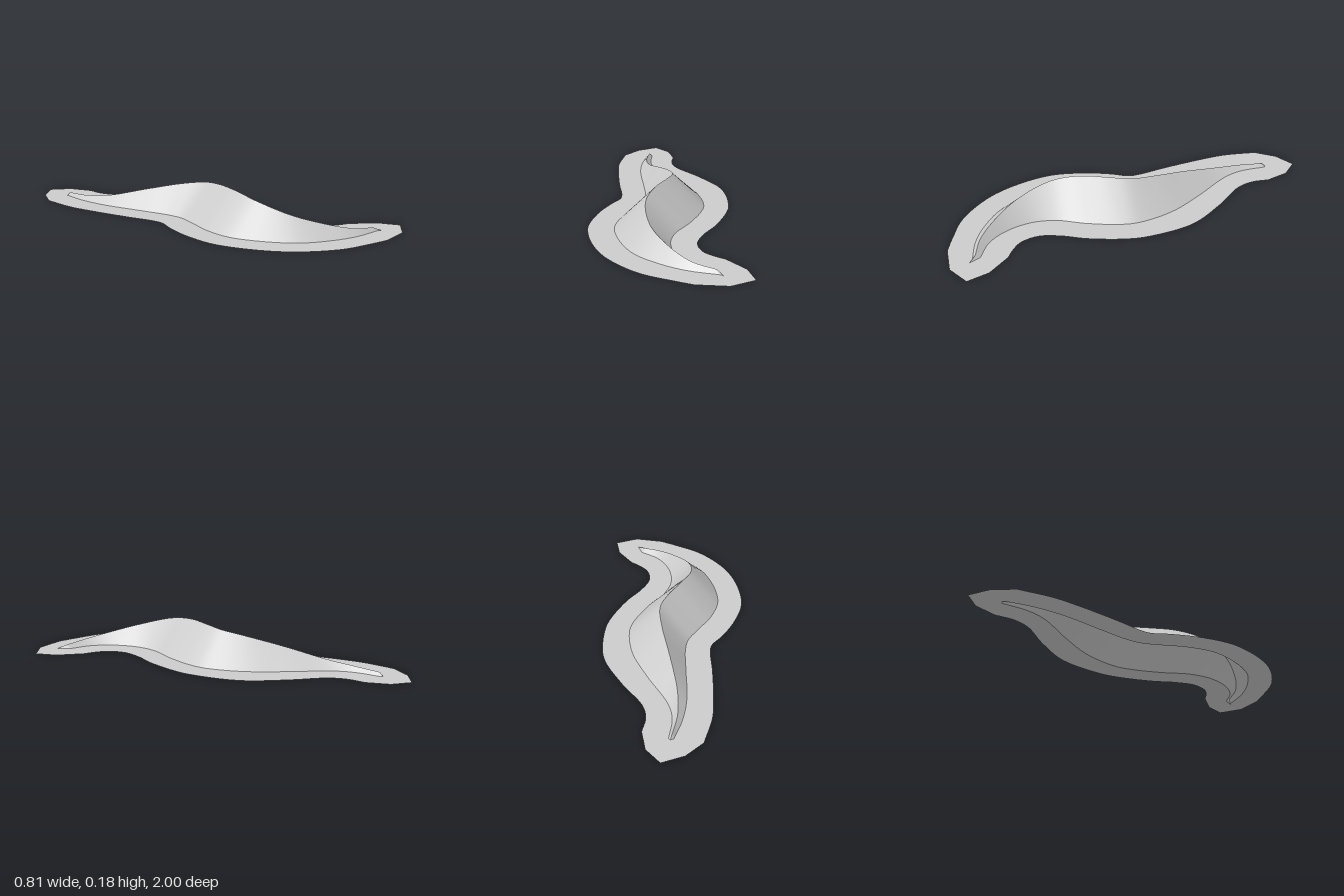
import * as THREE from 'three';

// Rails running from the back end to the front end, matched station by station.
const crestPts = [
  [-0.16, 0.018, -0.82], [-0.17, 0.025, -0.69], [-0.15, 0.046, -0.53], [-0.085, 0.1, -0.32],
  [-0.02, 0.145, -0.13], [0.005, 0.167, 0], [-0.02, 0.177, 0.1], [-0.08, 0.178, 0.25],
  [-0.115, 0.155, 0.4], [-0.08, 0.105, 0.58], [0.02, 0.06, 0.73], [0.12, 0.032, 0.82], [0.23, 0.018, 0.865],
];
// Ground rails are [x, z].
const rightFoot = [
  [-0.17, -0.83], [-0.195, -0.69], [-0.197, -0.53], [-0.165, -0.29], [-0.145, -0.13], [-0.15, -0.04],
  [-0.19, 0.06], [-0.25, 0.2], [-0.272, 0.37], [-0.17, 0.645], [-0.03, 0.775], [0.1, 0.845], [0.25, 0.885],
];
const leftFoot = [
  [-0.145, -0.83], [-0.145, -0.69], [-0.11, -0.58], [0.02, -0.38], [0.125, -0.19], [0.17, 0],
  [0.16, 0.1], [0.1, 0.27], [0.03, 0.41], [0.012, 0.54], [0.05, 0.68], [0.125, 0.78], [0.23, 0.84],
];
const rightRim = [
  [-0.31, -0.84], [-0.333, -0.66], [-0.327, -0.53], [-0.3, -0.29], [-0.275, -0.13], [-0.278, -0.07],
  [-0.325, 0.02], [-0.38, 0.17], [-0.405, 0.37], [-0.31, 0.67], [-0.13, 0.87], [0.03, 0.95], [0.13, 0.99],
];
const leftRim = [
  [-0.015, -0.8], [-0.02, -0.7], [0.01, -0.61], [0.14, -0.45], [0.265, -0.25], [0.302, 0],
  [0.29, 0.11], [0.23, 0.3], [0.17, 0.42], [0.14, 0.53], [0.165, 0.625], [0.215, 0.675], [0.27, 0.71],
];
const backTip = [-0.155, -0.84], frontTip = [0.26, 0.9];
const backCap = [[-0.05, -0.92], [-0.13, -1], [-0.235, -0.94]];
const frontCap = [[0.285, 1], [0.4, 0.935], [0.365, 0.82]];

const SEGMENTS = 96;
const ground = ([x, z]) => new THREE.Vector3(x, 0, z);

function rail(points) {
  const curve = new THREE.CatmullRomCurve3(points);
  return curve.getPoints(SEGMENTS);
}

// Smooth strip stretched between two rails
function loft(a, b) {
  const pos = [], idx = [];
  a.forEach((p, i) => {
    pos.push(...p.toArray(), ...b[i].toArray());
    if (i === a.length - 1) return;
    const k = i * 2;
    idx.push(k, k + 2, k + 1, k + 1, k + 2, k + 3);
  });
  const g = new THREE.BufferGeometry();
  g.setAttribute('position', new THREE.Float32BufferAttribute(pos, 3));
  g.setIndex(idx);
  g.computeVertexNormals();
  return g;
}

export function createModel() {
  const group = new THREE.Group();
  group.name = 'windingRidge';
  const material = new THREE.MeshStandardMaterial({ color: 0xcccccc, side: THREE.DoubleSide });
  const add = (name, geometry) => {
    const mesh = new THREE.Mesh(geometry, material);
    mesh.name = name;
    group.add(mesh);
  };

  // Ridge: two slopes meeting at a sharp crest, each end closing to a tip
  const closeEnds = (r) => [ground(backTip), ...r, ground(frontTip)];
  const crest = rail(crestPts.map((p) => new THREE.Vector3(...p)));
  const footR = rail(rightFoot.map(ground));
  const footL = rail(leftFoot.map(ground));
  add('rightSlope', loft(closeEnds(footR), closeEnds(crest)));
  add('leftSlope', loft(closeEnds(crest), closeEnds(footL)));

  // Flat apron around the foot, open under the ridge
  const flat = (pts) => pts.map((p) => new THREE.Vector2(p.x, -p.z));
  const outline = [
    ...rail(rightRim.map(ground)), ...frontCap.map(ground),
    ...rail(leftRim.map(ground)).reverse(), ...backCap.map(ground),
  ];
  const opening = [
    ground(backTip), ...footR, ground(frontTip), ...footL.slice().reverse(),
  ];
  const shape = new THREE.Shape(flat(outline));
  shape.holes.push(new THREE.Path(flat(opening)));
  add('apron', new THREE.ShapeGeometry(shape).rotateX(-Math.PI / 2));

  return group;
}
